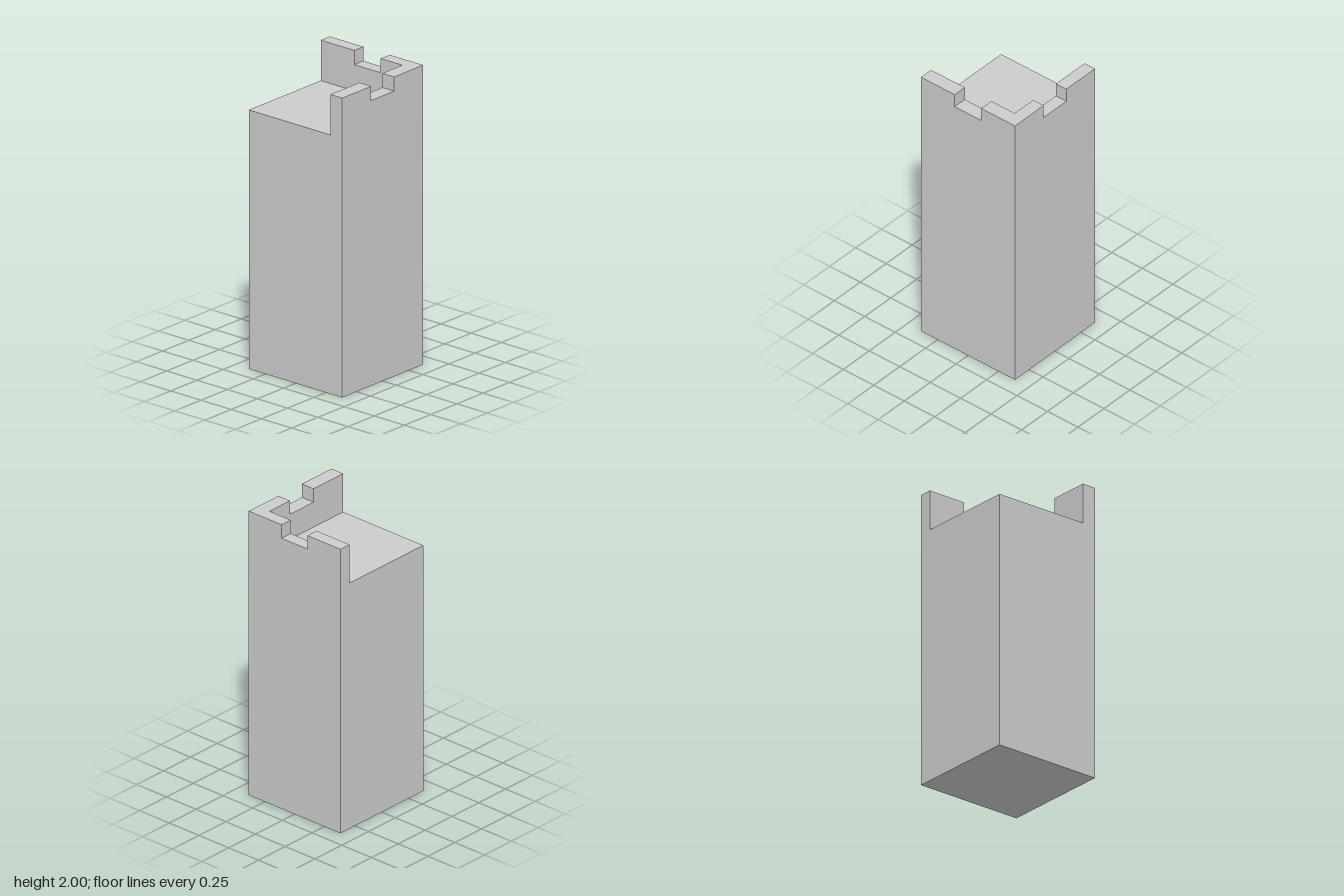
import * as THREE from 'three';

const HALF = 0.386;   // half width of the tower
const ROOF = 1.73;    // height of the flat roof
const TOP = 2;        // top of the merlons
const NOTCH = 1.905;  // floor of the notch
const GAP = 0.109;    // half width of the notch

export function createModel() {
  const group = new THREE.Group();
  const material = new THREE.MeshStandardMaterial({ color: 0xcccccc, flatShading: true });

  // Notched wall standing on the roof, running from -HALF to end
  const wall = (name, end, depth) => {
    const shape = new THREE.Shape([
      [-HALF, ROOF], [end, ROOF], [end, TOP], [GAP, TOP],
      [GAP, NOTCH], [-GAP, NOTCH], [-GAP, TOP], [-HALF, TOP],
    ].map(([x, y]) => new THREE.Vector2(x, y)));
    const geometry = new THREE.ExtrudeGeometry(shape, { depth, bevelEnabled: false });
    const mesh = new THREE.Mesh(geometry, material);
    mesh.name = name;
    group.add(mesh);
    return mesh;
  };

  // Square tower body
  const body = new THREE.Mesh(new THREE.BoxGeometry(2 * HALF, ROOF, 2 * HALF), material);
  body.name = 'towerBody';
  body.position.y = ROOF / 2;
  group.add(body);

  // Front battlement spans the full width
  const frontDepth = 0.098;
  wall('frontBattlement', HALF, frontDepth).position.z = HALF - frontDepth;

  // Side battlement on +x butts against the front one
  const side = wall('sideBattlement', HALF - frontDepth, 0.086);
  side.rotation.y = -Math.PI / 2;
  side.position.x = HALF;

  return group;
}
